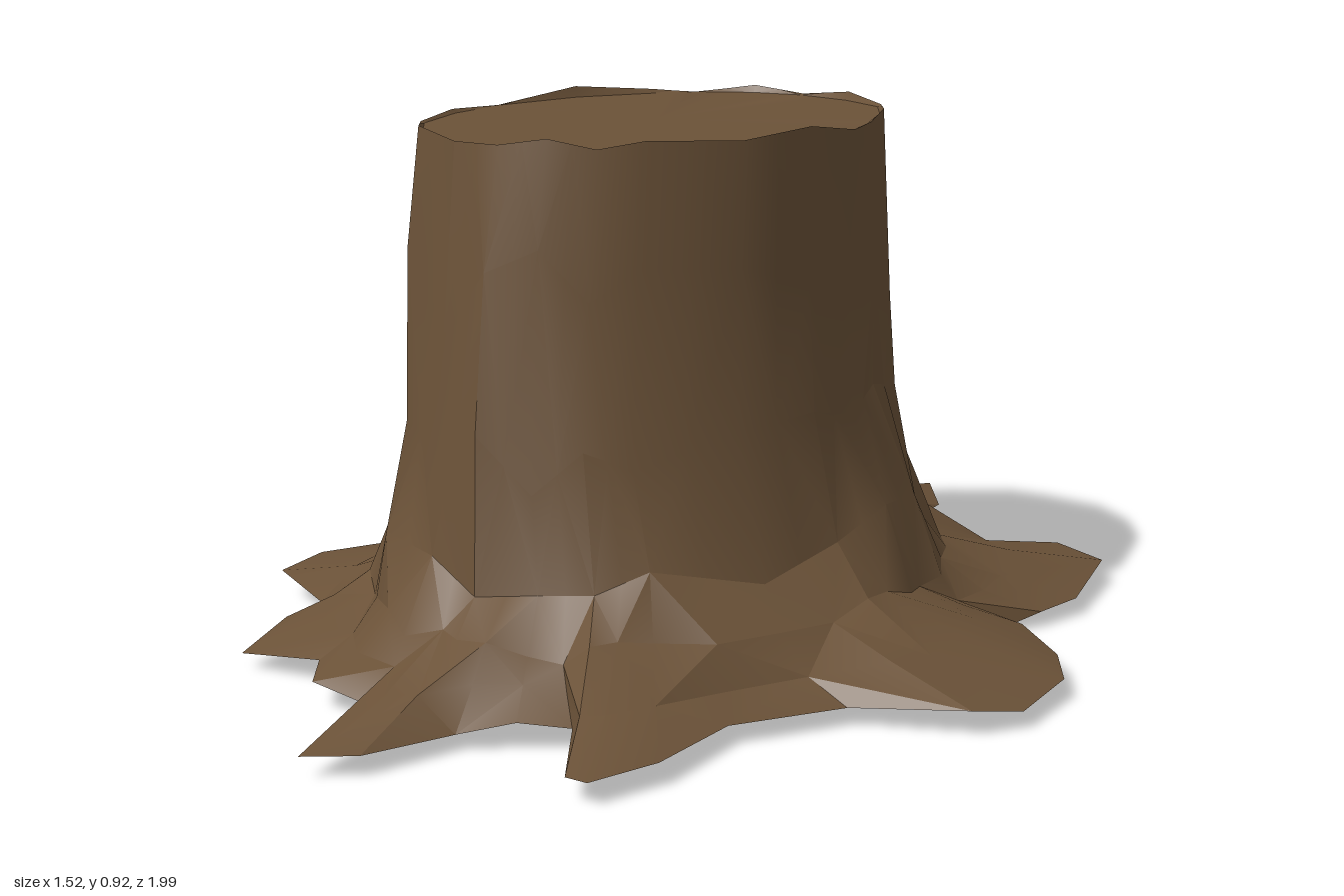
import * as THREE from 'three';
import { toCreasedNormals } from 'three/addons/utils/BufferGeometryUtils.js';

// Ground outline (x, z) of each root lobe, going round from the front via +x
const rootOutlines = [
  [[-.1, .73], [-.05, .99], [.02, .93], [.07, .76], [.15, .71], [.22, .66]],
  [[.34, .85], [.38, .85], [.42, .72], [.41, .51], [.52, .33]],
  [[.71, .27], [.76, .19], [.75, .02], [.69, -.08], [.57, -.19], [.48, -.21]],
  [[.54, -.33], [.56, -.43], [.51, -.65], [.38, -.73], [.3, -.55]],
  [[.19, -.62], [.05, -.7], [.04, -.89], [-.04, -1], [-.09, -.69], [-.24, -.58]],
  [[-.35, -.82], [-.43, -.85], [-.47, -.75], [-.47, -.47], [-.52, -.36], [-.53, -.2]],
  [[-.71, .01], [-.76, .09], [-.72, .25], [-.56, .33]],
  [[-.52, .47], [-.49, .62], [-.32, .62], [-.25, .72]],
];

// Trunk ellipses from the flare up: y, centre x, radius x, centre z, radius z, roughness in y
const trunkRings = [
  [.13, -.02, .46, .03, .61, .02],
  [.22, -.04, .42, .01, .56, .05],
  [.39, -.06, .375, .01, .53, .07],
  [.66, -.055, .367, .01, .505, .09],
  [.91, -.05, .36, .01, .48, .012],
];

let seed = 11;
const jitter = (amount) => {
  seed = (seed * 16807) % 2147483647;
  return (seed / 2147483647 * 2 - 1) * amount;
};

// Skin a stack of closed rings, alternating the diagonals
function loft(rings) {
  const n = rings[0].length;
  const index = [];
  for (let j = 0; j < rings.length - 1; j++) {
    for (let i = 0; i < n; i++) {
      const a = j * n + i, b = j * n + (i + 1) % n, c = b + n, d = a + n;
      if ((i + j) % 2) index.push(a, b, c, a, c, d);
      else index.push(a, b, d, b, c, d);
    }
  }
  const geometry = new THREE.BufferGeometry().setFromPoints(rings.flat());
  geometry.setIndex(index);
  return toCreasedNormals(geometry, 0.4);
}

export function createModel() {
  const group = new THREE.Group();
  group.name = 'treeStump';
  const bark = new THREE.MeshStandardMaterial({ color: 0x6b5238, side: THREE.DoubleSide });
  const add = (name, geometry) => {
    const mesh = new THREE.Mesh(geometry, bark);
    mesh.name = name;
    group.add(mesh);
  };

  const outline = rootOutlines.flat().map(([x, z]) => new THREE.Vector3(x, .038 + jitter(.012), z));
  const n = outline.length;
  outline[16].y = 0; // deepest notch touches the ground

  // Evened-out directions, so the grain of the trunk follows the roots
  const directions = outline.map((_, i) => {
    const sum = new THREE.Vector2();
    for (let k = -1; k <= 1; k++) {
      const p = outline[(i + k + n) % n];
      sum.add(new THREE.Vector2(p.x / .47, p.z / .63).normalize());
    }
    return sum.normalize();
  });

  // Bark rings: every second point is rough, the others lie between them to give broad facets
  const rings = trunkRings.map(([y, cx, rx, cz, rz, rough], j) => {
    const ring = directions.map((d) => {
      const r = 1 + jitter(j === 4 ? .015 : .025);
      return new THREE.Vector3(cx + d.x * rx * r, y + jitter(rough), cz + d.y * rz * r);
    });
    if (j > 0) {
      for (let i = 1; i < n; i += 2) {
        ring[i].lerpVectors(ring[i - 1], ring[(i + 1) % n], .5);
      }
    }
    return ring;
  });

  // Roots: thin skirt spreading out from the flare
  const rootRidge = outline.map((p, i) => {
    const q = rings[0][i].clone().lerp(p, .42);
    q.y = .078 + jitter(.012);
    return q;
  });
  add('roots', loft([outline, rootRidge, rings[0]]));

  // Trunk: hollow bark shell, open below
  add('trunk', loft(rings));

  // Cut top: slightly sunken below the ragged rim
  const rim = rings[rings.length - 1];
  const edge = rim.map((p) => new THREE.Vector3(-.05 + (p.x + .05) * .985, .9, .01 + (p.z - .01) * .985));
  const middle = rim.map(() => new THREE.Vector3(-.05, .9, .01));
  add('cutTop', loft([rim, edge, middle]));

  return group;
}
